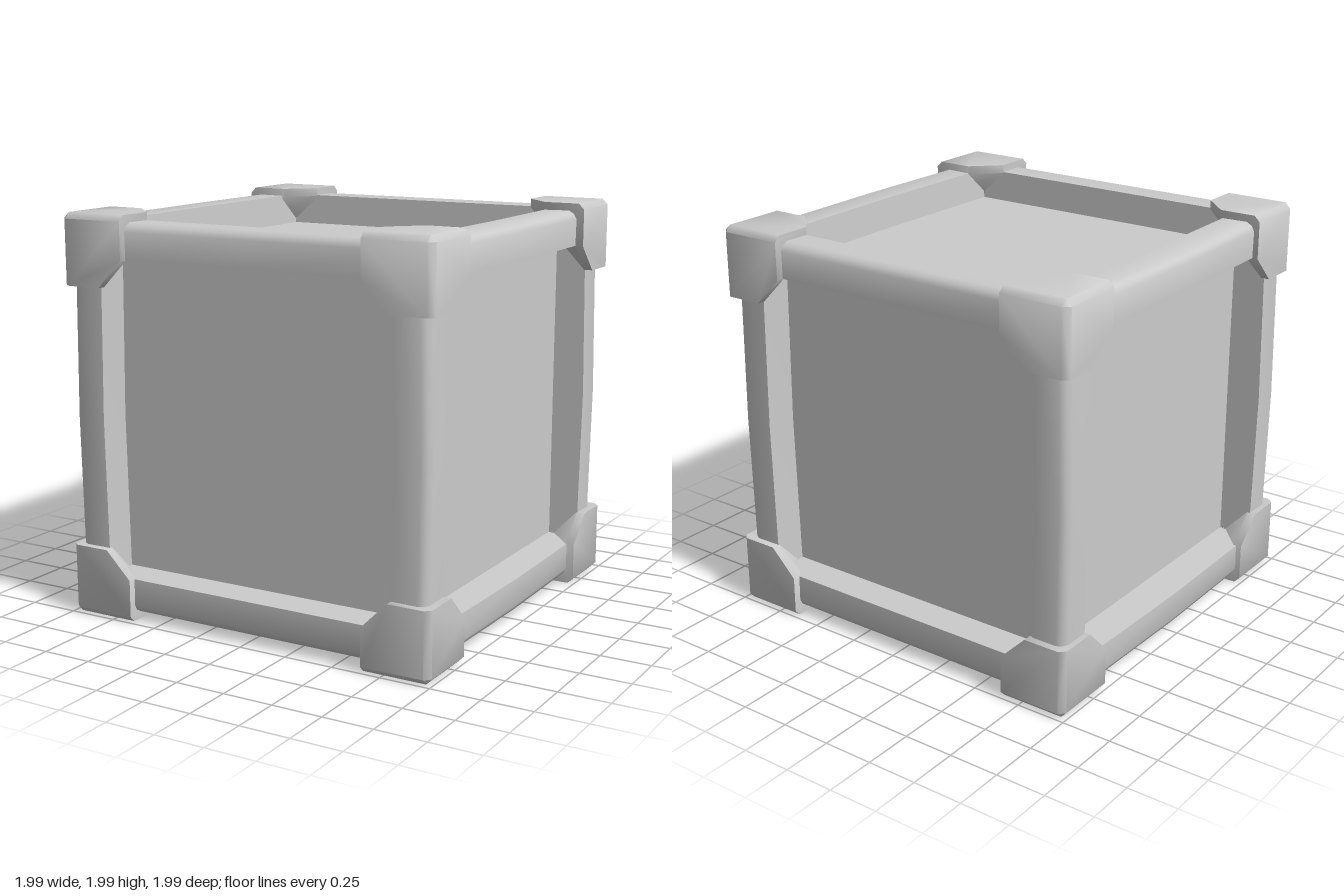
import * as THREE from 'three';
import { toCreasedNormals } from 'three/addons/utils/BufferGeometryUtils.js';
import { ConvexGeometry } from 'three/addons/geometries/ConvexGeometry.js';

const material = new THREE.MeshStandardMaterial({ color: 0xcccccc });

function addMesh(parent, name, geometry) {
  const mesh = new THREE.Mesh(geometry, material);
  mesh.name = name;
  parent.add(mesh);
}

// Edge beam: softly rounded outside, walls tapering down to the panel,
// bowed slightly outward at mid length.
function beamGeometry(rotation, axis) {
  const profile = [[0.77, 0.77], [0.955, 0.782], [0.957, 0.915], [0.942, 0.942], [0.915, 0.957], [0.782, 0.955]];
  const shape = new THREE.Shape(profile.map(([x, y]) => new THREE.Vector2(x, y)));
  const geometry = new THREE.ExtrudeGeometry(shape, { depth: 1.76, steps: 2, bevelEnabled: false });
  geometry.translate(0, 0, -0.88);
  geometry.applyMatrix4(rotation);
  if (axis !== 'x') {
    const p = geometry.attributes.position;
    for (let i = 0; i < p.count; i++) {
      const along = axis === 'y' ? p.getY(i) : p.getZ(i);
      const bow = Math.abs(along) < 0.1 ? 0.015 : 0;
      p.setX(i, p.getX(i) + Math.sign(p.getX(i)) * bow - 0.006);
    }
  }
  return toCreasedNormals(geometry, 0.9);
}

// Corner cap: three five-sided plates around a chamfered corner.
function capGeometry(sx, sy, sz) {
  const out = 0.994, rim = 0.95, inset = 0.965;
  const points = [];
  const plate = (a, b, c, k) => {
    const v = [a, b, c];
    points.push(new THREE.Vector3(sx * v[k % 3], sy * v[(k + 1) % 3], sz * v[(k + 2) % 3]));
  };
  for (let k = 0; k < 3; k++) {
    for (const [a, b] of [[0.645, inset], [0.645, 0.78], [0.78, 0.645], [inset, 0.645], [inset, inset]]) {
      plate(a, b, out, k);
      if (a < 0.9 && b < 0.9) plate(a, b, rim, k);
    }
  }
  return toCreasedNormals(new ConvexGeometry(points), 0.9);
}

export function createModel() {
  const model = new THREE.Group();
  model.name = 'crate';
  const body = new THREE.Group();
  body.name = 'crateBody';
  body.position.y = 1;
  model.add(body);

  // Recessed panels on all six sides
  addMesh(body, 'panels', new THREE.BoxGeometry(1.6, 1.6, 1.6));

  // Twelve beams, four along each axis
  const turns = {
    x: new THREE.Matrix4().makeRotationY(Math.PI / 2),
    y: new THREE.Matrix4().makeRotationX(Math.PI / 2),
    z: new THREE.Matrix4(),
  };
  for (const axis of ['x', 'y', 'z']) {
    for (let i = 0; i < 4; i++) {
      const spin = new THREE.Matrix4().makeRotationZ(i * Math.PI / 2);
      addMesh(body, `${axis}Beam${i + 1}`, beamGeometry(turns[axis].clone().multiply(spin), axis));
    }
  }

  // Eight corner caps
  for (const x of [-1, 1]) for (const y of [-1, 1]) for (const z of [-1, 1]) {
    const name = `${y > 0 ? 'top' : 'bottom'}${z > 0 ? 'Front' : 'Back'}${x > 0 ? 'Left' : 'Right'}Cap`;
    addMesh(body, name, capGeometry(x, y, z));
  }
  return model;
}
